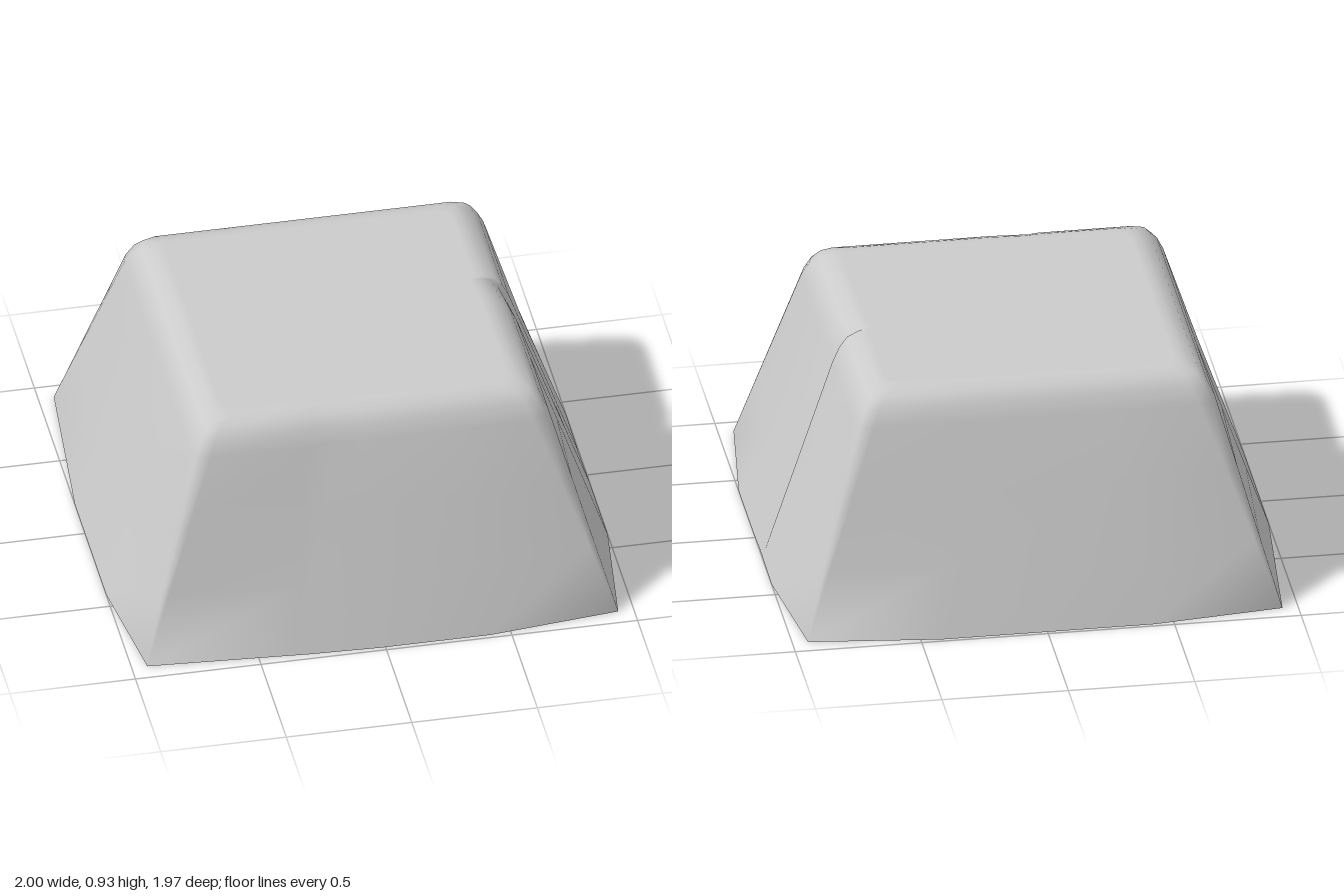
import * as THREE from 'three';
import { mergeVertices } from 'three/addons/utils/BufferGeometryUtils.js';

// Stations around the cap, counterclockwise from above, starting at the +x +z corner.
// Each is [rim x, rim z, shoulder x, shoulder z]; the shoulder is given on a unit square.
const corner = (sx, sz, z, flip) => {
  const pts = [[1, 0.9], [0.975, 0.975], [0.9, 1]];
  if (flip) pts.reverse();
  return pts.map(([a, b]) => [sx * 0.938, z, sx * a, sz * b]);
};

const stations = [
  ...corner(1, 1, 0.925, true),
  // left wall with its fold
  [1, 0.41, 1, 0.42],
  [1, 0.05, 0.995, 0.05],
  [0.997, -0.165, 0.972, -0.168],
  [0.998, -0.17, 1, -0.18],
  [1, -0.41, 1, -0.42],
  ...corner(1, -1, -0.925, false),
  // back wall
  [0.42, -0.985, 0.42, -1],
  [-0.42, -0.985, -0.42, -1],
  ...corner(-1, -1, -0.925, true),
  // right wall
  [-1, -0.2, -1, -0.3],
  [-1, 0.42, -1, 0.42],
  ...corner(-1, 1, 0.925, false),
  // front wall with its shallow crease
  [-0.36, 0.966, -0.34, 1],
  [-0.31, 0.97, -0.28, 0.987],
  [-0.02, 0.982, -0.05, 1],
  [0.42, 0.982, 0.42, 1],
];

// Rows from the rim to the flat top: [height, half width, blend from rim to shoulder]
const SHOULDER = 0.715;
const rows = [
  [0, SHOULDER, 0],
  [0.27, SHOULDER, 1 / 3],
  [0.54, SHOULDER, 2 / 3],
  [0.81, SHOULDER, 1],
  [0.87, 0.687, 1],
  [0.91, 0.655, 1],
  [0.93, 0.605, 1],
  [0.932, 0.57, 1],
];

function capGeometry() {
  const n = stations.length;
  const pos = [];
  const index = [];
  for (const [y, half, t] of rows) {
    for (const [bx, bz, ux, uz] of stations) {
      pos.push(
        THREE.MathUtils.lerp(bx, ux * half, t),
        y,
        THREE.MathUtils.lerp(bz, uz * half, t),
      );
    }
  }
  const centre = pos.length / 3;
  pos.push(0, 0.932, 0);

  for (let r = 0; r < rows.length - 1; r++) {
    for (let i = 0; i < n; i++) {
      const j = (i + 1) % n;
      const a = r * n + i, b = r * n + j, c = b + n, d = a + n;
      index.push(a, b, c, a, c, d);
    }
  }
  // flat top
  const last = (rows.length - 1) * n;
  for (let i = 0; i < n; i++) index.push(last + i, last + ((i + 1) % n), centre);

  const geo = new THREE.BufferGeometry();
  geo.setAttribute('position', new THREE.Float32BufferAttribute(pos, 3));
  geo.setIndex(index);
  const merged = mergeVertices(geo, 1e-4);
  merged.computeVertexNormals();
  return merged;
}

export function createModel() {
  const group = new THREE.Group();
  group.name = 'hollowCap';
  // thin shell, open underneath
  const shell = new THREE.Mesh(
    capGeometry(),
    new THREE.MeshStandardMaterial({ color: 0xcccccc, side: THREE.DoubleSide }),
  );
  shell.name = 'capShell';
  group.add(shell);
  return group;
}
